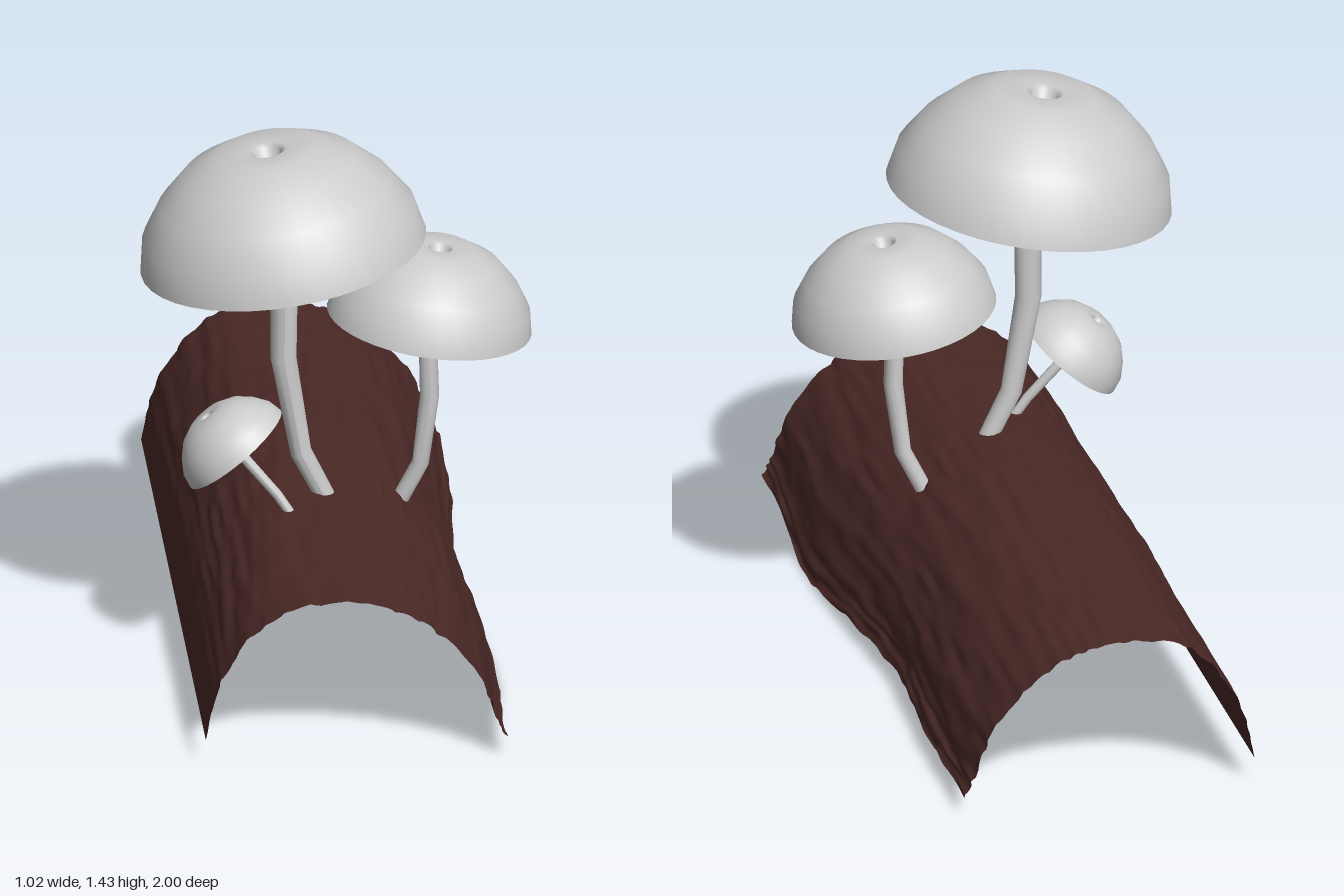
import * as THREE from 'three';

const grey = new THREE.MeshStandardMaterial({ color: 0xcccccc, side: THREE.DoubleSide });
const brown = new THREE.MeshStandardMaterial({ color: 0x4a2926, side: THREE.DoubleSide });

// smooth seeded value noise in two dimensions
const hash = (i, j) => {
  const s = Math.sin(i * 127.1 + j * 311.7) * 43758.5453;
  return s - Math.floor(s);
};
function noise(x, y) {
  const i = Math.floor(x), j = Math.floor(y);
  const { lerp, smoothstep } = THREE.MathUtils;
  const a = smoothstep(x - i, 0, 1), b = smoothstep(y - j, 0, 1);
  return lerp(lerp(hash(i, j), hash(i + 1, j), a),
    lerp(hash(i, j + 1), hash(i + 1, j + 1), a), b) - 0.5;
}
const bump = (z, centre, width) => Math.exp(-(((z - centre) / width) ** 2));

// hollow half log: an arch swept along z, swelling slightly, with bark grooves
function makeLog() {
  const arch = new THREE.CatmullRomCurve3([
    [-0.4, 0.08], [-0.375, 0.2], [-0.335, 0.29], [-0.27, 0.375], [-0.18, 0.435], [-0.05, 0.45],
    [0.05, 0.437], [0.15, 0.395], [0.24, 0.315], [0.31, 0.215], [0.35, 0.11], [0.37, 0.06],
  ].map(([x, y]) => new THREE.Vector3(x, y, 0)));
  const geo = new THREE.PlaneGeometry(2, 2, 110, 90);
  const pos = geo.attributes.position;
  for (let i = 0; i < pos.count; i++) {
    const u = (pos.getX(i) + 1) / 2, z = -pos.getY(i);
    const p = arch.getPoint(u);
    const t = arch.getTangent(u);
    const side = THREE.MathUtils.smoothstep(u, 0.5, 1);
    const grain = noise(u * 60, z * 5) * 0.011 + noise(u * 25, z * 12 + 40) * 0.006;
    const fade = Math.min(1, u * 5);
    p.x += side * (0.024 * bump(z, 0.5, 0.35) - 0.025 * bump(z, -0.2, 0.3)) - t.y * grain * fade;
    p.y += Math.sin(Math.PI * u) * 0.025 * bump(z, -0.05, 0.5) + t.x * grain * fade;
    p.y -= THREE.MathUtils.smoothstep(u, 0.75, 1)
      * (0.05 * bump(z, 0.5, 0.28) + 0.01 * bump(z, 0, 0.2) + noise(z * 18, 7) * 0.012);
    pos.setXYZ(i, p.x, p.y, z);
  }
  geo.computeVertexNormals();
  const log = new THREE.Mesh(geo, brown);
  log.name = 'log';
  return log;
}

// cap with a dimple at its crown; the rim lies on local y = 0
const capProfile = [
  [0, 0.24], [0.024, 0.245], [0.036, 0.28], [0.05, 0.288], [0.13, 0.29], [0.227, 0.243],
  [0.304, 0.167], [0.357, 0.085], [0.374, 0],
].reverse().map(([x, y]) => new THREE.Vector2(x, y));

function makeCap([x, y, z], radius, tiltX, tiltZ) {
  const s = radius / 0.374;
  const cap = new THREE.Mesh(new THREE.LatheGeometry(capProfile, 40), grey);
  cap.scale.setScalar(s);
  cap.position.set(x, y, z);
  cap.rotation.set(tiltX, 0, tiltZ);
  cap.name = 'cap';
  return cap;
}

// stem: a cylinder whose rings follow bend points [x, y, z, radius], bottom to top
function makeStem(points) {
  const n = points.length - 1;
  const path = points.map(([x, y, z]) => new THREE.Vector3(x, y, z));
  const up = new THREE.Vector3(0, 1, 0);
  const turns = path.map((_, k) => new THREE.Quaternion().setFromUnitVectors(up,
    path[Math.min(n, k + 1)].clone().sub(path[Math.max(0, k - 1)]).normalize()));
  const geo = new THREE.CylinderGeometry(1, 1, n, 14, n);
  const pos = geo.attributes.position, v = new THREE.Vector3();
  for (let i = 0; i < pos.count; i++) {
    const k = Math.round(pos.getY(i) + n / 2);
    v.set(pos.getX(i), 0, pos.getZ(i)).multiplyScalar(points[k][3]);
    v.applyQuaternion(turns[k]).add(path[k]);
    pos.setXYZ(i, v.x, v.y, v.z);
  }
  geo.computeVertexNormals();
  const stem = new THREE.Mesh(geo, grey);
  stem.name = 'stem';
  return stem;
}

function makeMushroom(name, cap, stem) {
  const group = new THREE.Group();
  group.name = name;
  group.add(makeCap(...cap), makeStem(stem));
  return group;
}

export function createModel() {
  const model = new THREE.Group();
  model.name = 'mushroomLog';
  model.add(
    makeLog(),
    makeMushroom('largeMushroom', [[-0.14, 1.135, 0.28], 0.372, 0, 0.148], [
      [0.02, 0.345, 0.285, 0.024], [-0.095, 0.575, 0.285, 0.028], [-0.14, 0.84, 0.285, 0.034],
      [-0.137, 1.14, 0.285, 0.036], [-0.175, 1.37, 0.28, 0.034],
    ]),
    makeMushroom('mediumMushroom', [[0.245, 0.888, 0.182], 0.266, 0, -0.14], [
      [0.143, 0.325, 0.155, 0.022], [0.223, 0.49, 0.178, 0.022], [0.245, 0.68, 0.19, 0.025],
      [0.24, 0.88, 0.19, 0.024], [0.27, 1.06, 0.185, 0.022],
    ]),
    makeMushroom('smallMushroom', [[-0.27, 0.623, 0.368], 0.153, -0.16, 0.682], [
      [-0.075, 0.365, 0.4, 0.011], [-0.165, 0.5, 0.385, 0.013], [-0.28, 0.635, 0.362, 0.014],
      [-0.332, 0.7, 0.354, 0.014],
    ]),
  );
  return model;
}
